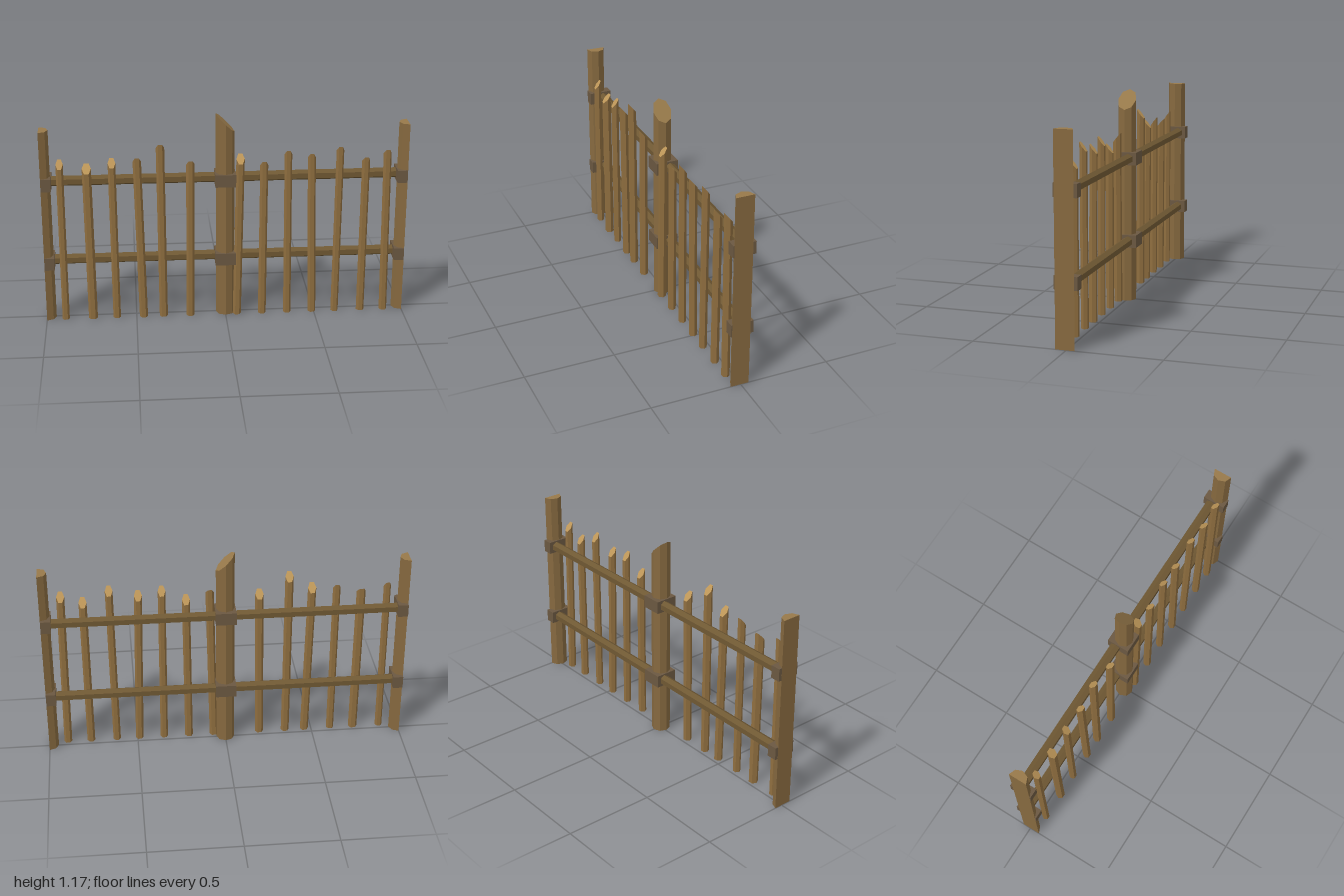
import * as THREE from 'three';

const mat = (color) => new THREE.MeshStandardMaterial({ color, flatShading: true });

// Prism standing on y = 0 whose vertices are moved by a rule; its top face gets its own material
function timber(name, sides, radius, height, materials, rule) {
  const start = sides === 6 ? Math.PI / 2 : 0; // a corner always points to +x and -x
  const geo = new THREE.CylinderGeometry(radius, radius, height, sides, 1, false, start);
  geo.translate(0, height / 2, 0);
  const p = geo.attributes.position;
  const v = new THREE.Vector3();
  for (let i = 0; i < p.count; i++) {
    v.fromBufferAttribute(p, i);
    rule(v, v.y > height / 2);
    p.setXYZ(i, v.x, v.y, v.z);
  }
  const flat = geo.toNonIndexed();
  flat.computeVertexNormals();
  const mesh = new THREE.Mesh(flat, materials);
  mesh.name = name;
  return mesh;
}

export function createModel() {
  const fence = new THREE.Group();
  fence.name = 'fence';
  const post = mat(0x86693f);
  const postTop = mat(0x97794a);
  const picket = mat(0x8f6e3f);
  const picketCut = mat(0xbd9658);
  const rail = mat(0x6f5833);
  const strap = mat(0x6b5841);

  // Centre post with a slanted top
  const centre = timber('centrePost', 8, 0.051, 1.12, [post, postTop, post], (v, top) => {
    if (top) v.y -= v.x;
  });
  centre.position.z = 0.006;
  fence.add(centre);

  // Half posts, sliced flat at both ends of the panel
  for (const side of [-1, 1]) {
    const end = timber(side > 0 ? 'leftEndPost' : 'rightEndPost', 8, 0.051, 1.1, [post, postTop, post], (v) => {
      v.x = side > 0 ? Math.min(v.x, 0) : Math.max(v.x, 0);
    });
    end.position.set(side, 0, 0.006);
    fence.add(end);
  }

  // Two hexagonal rails, each held to the posts by straps
  for (const [name, y] of [['lower', 0.341], ['upper', 0.802]]) {
    const geo = new THREE.CylinderGeometry(0.029, 0.029, 1.99, 6);
    geo.rotateY(Math.PI / 2);
    geo.rotateZ(Math.PI / 2);
    const bar = new THREE.Mesh(geo, rail);
    bar.name = name + 'Rail';
    bar.position.set(0, y, -0.016);
    fence.add(bar);

    for (const [x, width] of [[-0.9715, 0.055], [0, 0.113], [0.9715, 0.055]]) {
      const box = new THREE.Mesh(new THREE.BoxGeometry(width, 0.07, 0.125), strap);
      box.name = name + 'Strap';
      box.position.set(x, y, 0);
      fence.add(box);
    }
  }

  // Pickets: foot x, top x, peak height, radius, direction the cut faces (1 front, -1 back)
  const pickets = [
    [-0.895, -0.895, 0.938, 0.02, 1],
    [-0.743, -0.751, 0.910, 0.025, 1],
    [-0.610, -0.615, 0.938, 0.021, 1],
    [-0.460, -0.479, 0.944, 0.023, -1],
    [-0.348, -0.353, 1.018, 0.023, -1],
    [-0.198, -0.190, 0.920, 0.023, -1],
    [0.064, 0.082, 0.944, 0.023, 1],
    [0.206, 0.211, 0.906, 0.022, -1],
    [0.348, 0.342, 0.965, 0.021, -1],
    [0.489, 0.470, 0.944, 0.022, -1],
    [0.618, 0.626, 0.980, 0.021, -1],
    [0.765, 0.769, 0.917, 0.022, -1],
    [0.896, 0.886, 0.957, 0.022, -1],
  ];
  for (const [foot, head, peak, r, facing] of pickets) {
    const height = peak - 0.024;
    const slope = 0.024 / (r * Math.sin(Math.PI / 3));
    const stake = timber('picket', 6, r, height, [picket, picketCut, picket], (v, top) => {
      if (!top) return;
      v.y -= facing * slope * v.z;
      v.x += head - foot;
    });
    stake.position.set(foot, 0, 0.037);
    fence.add(stake);
  }
  return fence;
}
